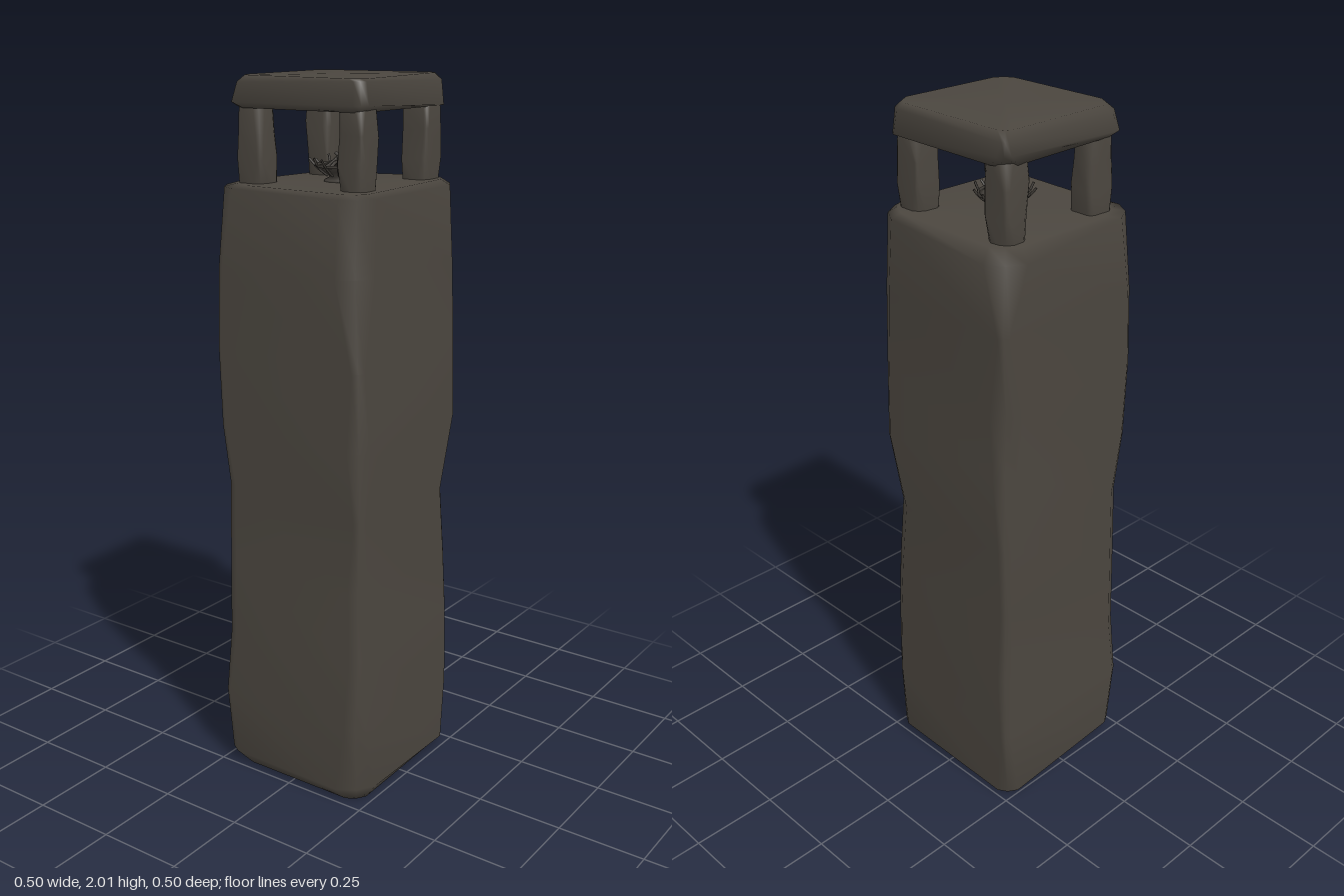
import * as THREE from 'three';

const stone = new THREE.MeshStandardMaterial({ color: 0x4b463f });
stone.name = 'weathered stone';
const iron = new THREE.MeshStandardMaterial({ color: 0x3f3b36, side: THREE.DoubleSide });
iron.name = 'charred iron';

function seeded(seed) {
  let s = seed;
  return () => (s = (s * 16807) % 2147483647) / 2147483647;
}

// Worn stone block: stacked square sections whose corners are chipped by varying amounts.
function roughBlock({ w, h, d, levels, chip, rim, wobble, seed }) {
  const rnd = seeded(seed);
  const corners = [[1, 1], [1, -1], [-1, -1], [-1, 1]];
  const rings = [];
  const addRing = (y, inset, extra) => {
    const ring = [];
    corners.forEach(([sx, sz], i) => {
      const c = chip * (0.45 + 1.3 * rnd() ** 1.5) + extra;
      const x = w / 2 - inset - rnd() * wobble;
      const z = d / 2 - inset - rnd() * wobble;
      const yy = y + (rnd() - 0.5) * wobble * (inset ? 1 : 4);
      const a = [sx * (x - c), yy, sz * z];
      const m = [sx * (x - c * 0.38), yy, sz * (z - c * 0.38)];
      const b = [sx * x, yy, sz * (z - c)];
      // walk every corner in the same turning direction
      ring.push(...(i % 2 ? [b, m, a] : [a, m, b]));
    });
    rings.push(ring);
  };
  addRing(0, rim * 0.8, chip * 0.4);
  for (let i = 0; i < levels; i++) {
    const t = levels > 1 ? i / (levels - 1) : 0.5;
    const end = levels > 2 && (i === 0 || i === levels - 1);
    addRing(rim + t * (h - 2 * rim), 0, end ? chip * 0.5 : 0);
  }
  addRing(h, rim * 0.8, chip * 0.4);

  const n = 12;
  const pos = rings.flat(2);
  const index = [];
  for (let k = 0; k < rings.length - 1; k++) {
    for (let i = 0; i < n; i++) {
      const a = k * n + i, b = k * n + (i + 1) % n;
      index.push(a, a + n, b, b, a + n, b + n);
    }
  }
  // end caps
  const base = pos.length / 3;
  pos.push(0, 0, 0, 0, h, 0);
  const top = (rings.length - 1) * n;
  for (let i = 0; i < n; i++) {
    const j = (i + 1) % n;
    index.push(base, i, j, base + 1, top + j, top + i);
  }
  // the rings turn clockwise seen from above, so flip every triangle outward
  for (let i = 0; i < index.length; i += 3) {
    [index[i + 1], index[i + 2]] = [index[i + 2], index[i + 1]];
  }
  const g = new THREE.BufferGeometry();
  g.setAttribute('position', new THREE.Float32BufferAttribute(pos, 3));
  g.setIndex(orient(pos, index));
  g.computeVertexNormals();
  return g;
}

// Makes every triangle of a convex-like block face away from its middle.
function orient(pos, index) {
  const box = new THREE.Box3().setFromArray(pos);
  const mid = box.getCenter(new THREE.Vector3());
  const [a, b, c] = [0, 1, 2].map(() => new THREE.Vector3());
  const tri = new THREE.Triangle(a, b, c);
  const nrm = new THREE.Vector3();
  for (let i = 0; i < index.length; i += 3) {
    a.fromArray(pos, index[i] * 3);
    b.fromArray(pos, index[i + 1] * 3);
    c.fromArray(pos, index[i + 2] * 3);
    tri.getNormal(nrm);
    if (nrm.dot(a.clone().sub(mid)) < 0) {
      [index[i + 1], index[i + 2]] = [index[i + 2], index[i + 1]];
    }
  }
  return index;
}

function add(parent, name, geometry, material, x = 0, y = 0, z = 0) {
  const mesh = new THREE.Mesh(geometry, material);
  mesh.name = name;
  mesh.position.set(x, y, z);
  parent.add(mesh);
  return mesh;
}

function twig(points, radius) {
  const curve = new THREE.CatmullRomCurve3(points.map((p) => new THREE.Vector3(...p)));
  return new THREE.TubeGeometry(curve, 5, radius, 5, false);
}

// Small fire basket: a shallow bowl, outward prongs and a heap of twigs.
function createBrazier() {
  const g = new THREE.Group();
  g.name = 'brazier';
  const profile = [[0, 0], [0.05, 0], [0.045, 0.008], [0.03, 0.016], [0.05, 0.03], [0.065, 0.045], [0.055, 0.045], [0, 0.035]];
  add(g, 'bowl', new THREE.LatheGeometry(profile.map((p) => new THREE.Vector2(...p)), 14), iron);
  const rim = add(g, 'bowlRim', new THREE.TorusGeometry(0.068, 0.004, 5, 18), iron, 0, 0.046, 0);
  rim.rotation.x = Math.PI / 2;
  const rnd = seeded(77);
  for (let i = 0; i < 12; i++) {
    const a = (i / 12) * Math.PI * 2, c = Math.cos(a), s = Math.sin(a);
    const r = 0.078 + rnd() * 0.012;
    add(g, 'prong', twig([[c * 0.04, 0.02, s * 0.04], [c * 0.065, 0.04, s * 0.065], [c * r, 0.056 + rnd() * 0.014, s * r]], 0.0035), iron);
  }
  for (let i = 0; i < 18; i++) {
    const a = rnd() * Math.PI * 2, b = a + 2 + rnd() * 2;
    const r = 0.025 + rnd() * 0.035, q = 0.005 + rnd() * 0.03;
    const tip = 0.098 - q * 1.1 - rnd() * 0.025;
    add(g, 'twig', twig([
      [Math.cos(a) * r, 0.036, Math.sin(a) * r],
      [Math.cos(a) * r * 0.4, 0.056, Math.sin(a) * r * 0.4],
      [Math.cos(b) * q, tip, Math.sin(b) * q],
    ], 0.005), iron);
  }
  return g;
}

export function createModel() {
  const model = new THREE.Group();
  model.name = 'stoneLantern';

  // tall worn pillar
  add(model, 'pillar', roughBlock({ w: 0.505, h: 1.72, d: 0.5, levels: 9, chip: 0.045, rim: 0.025, wobble: 0.012, seed: 4211 }), stone);

  // four short posts
  let seed = 901;
  for (const x of [-0.145, 0.158]) {
    for (const z of [-0.16, 0.162]) {
      add(model, 'post', roughBlock({ w: 0.085, h: 0.24, d: 0.085, levels: 4, chip: 0.014, rim: 0.01, wobble: 0.004, seed: seed += 613 }), stone, x, 1.7, z);
    }
  }

  // cap slab
  add(model, 'cap', roughBlock({ w: 0.42, h: 0.086, d: 0.43, levels: 2, chip: 0.024, rim: 0.015, wobble: 0.006, seed: 3307 }), stone, 0.008, 1.914, 0);

  const brazier = createBrazier();
  brazier.position.set(0.005, 1.716, 0.005);
  model.add(brazier);
  return model;
}
